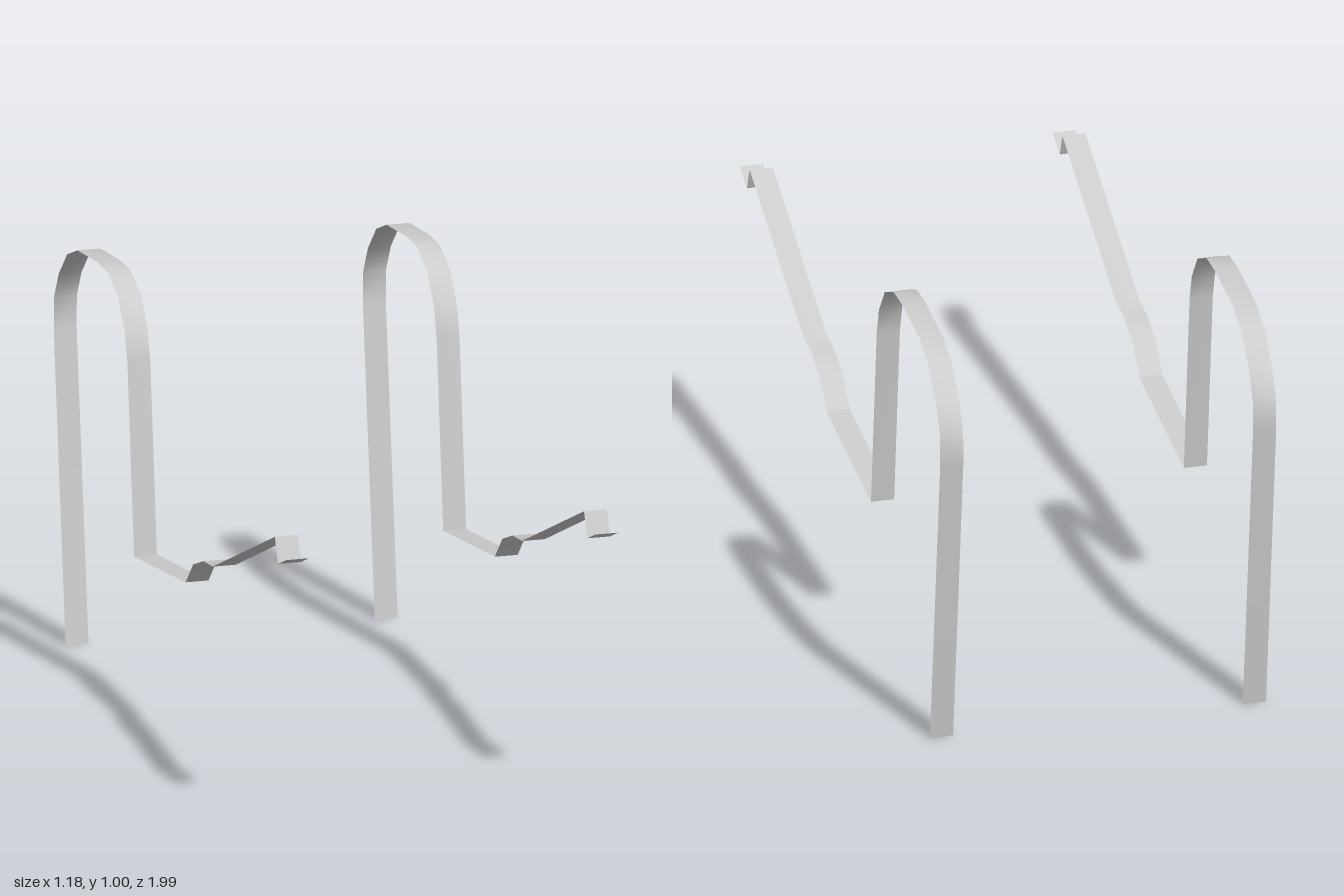
import * as THREE from 'three';

const WIDTH = 0.056;    // ribbon width
const SPACING = 0.378;  // half distance between the two straps
const YAW = -0.209;     // the pair is turned about 12 degrees

// Side profile as [z, y] points from front to back. Each section is smooth
// inside and meets the next one at a sharp crease.
const SECTIONS = {
  frontLip: [[0.931, 0.685], [0.865, 0.658]],
  riser: [[0.865, 0.658], [0.84, 0.717]],
  slopeAndBend: [[0.84, 0.717], [0.342, 0.51], [0.267, 0.503], [0.185, 0.473], [0.124, 0.413]],
  lowerArm: [[0.124, 0.413], [-0.29, 0.364]],
  arch: [
    [-0.29, 0.364], [-0.343, 0.82], [-0.364, 0.89], [-0.418, 0.96], [-0.5, 0.997],
    [-0.582, 1.0], [-0.745, 0.985], [-0.827, 0.953], [-0.894, 0.888], [-0.933, 0.82],
    [-0.934, 0.74], [-0.839, 0],
  ],
};

// Thin ribbon across x that follows a side profile
function ribbon(profile) {
  const positions = [];
  const index = [];
  profile.forEach(([z, y], i) => {
    positions.push(-WIDTH / 2, y, z, WIDTH / 2, y, z);
    if (i > 0) {
      const a = 2 * (i - 1);
      index.push(a, a + 1, a + 2, a + 1, a + 3, a + 2);
    }
  });
  const geometry = new THREE.BufferGeometry();
  geometry.setAttribute('position', new THREE.Float32BufferAttribute(positions, 3));
  geometry.setIndex(index);
  geometry.computeVertexNormals();
  return geometry;
}

export function createModel() {
  const material = new THREE.MeshStandardMaterial({ color: 0xcccccc, side: THREE.DoubleSide });
  const model = new THREE.Group();
  model.name = 'strapPair';
  model.rotation.y = YAW;

  // Two identical bent straps side by side
  for (const side of [-1, 1]) {
    const strap = new THREE.Group();
    strap.name = side > 0 ? 'leftStrap' : 'rightStrap';
    strap.position.x = side * SPACING;
    for (const [name, profile] of Object.entries(SECTIONS)) {
      const mesh = new THREE.Mesh(ribbon(profile), material);
      mesh.name = name;
      strap.add(mesh);
    }
    model.add(strap);
  }

  const root = new THREE.Group();
  root.name = 'bentStraps';
  root.add(model);
  return root;
}
